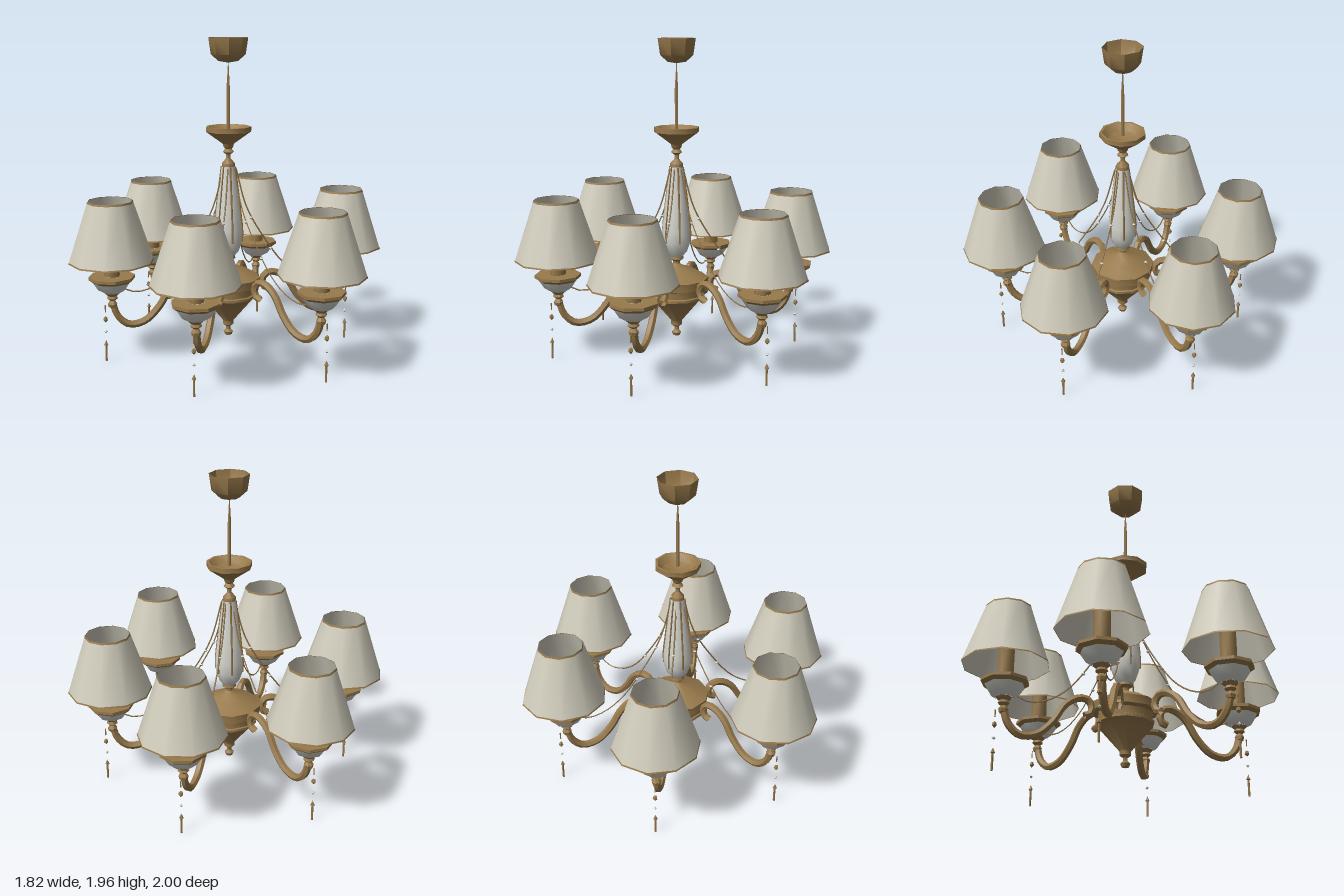
import * as THREE from 'three';
import { toCreasedNormals } from 'three/addons/utils/BufferGeometryUtils.js';

const mat = (name, color) => {
  const m = new THREE.MeshStandardMaterial({ color, side: THREE.DoubleSide });
  m.name = name;
  return m;
};

export function createModel() {
  const bronze = mat('aged bronze', 0x987a4c);
  const fabric = mat('cream fabric', 0xd0ccbc);
  const porcelain = mat('white porcelain', 0xd6d6d0);

  const add = (parent, name, geometry, material, x = 0, y = 0, z = 0) => {
    const mesh = new THREE.Mesh(geometry, material);
    mesh.name = name;
    mesh.position.set(x, y, z);
    parent.add(mesh);
    return mesh;
  };
  // Turned part from [radius, height] pairs listed bottom to top
  const turned = (points, sides, crease = 0.75) => toCreasedNormals(
    new THREE.LatheGeometry(points.map(p => new THREE.Vector2(...p)), sides), crease);
  // Bent tube through [radial distance, height] pairs
  const bent = (points, radius, steps, sides) => new THREE.TubeGeometry(
    new THREE.CatmullRomCurve3(points.map(([r, y]) => new THREE.Vector3(0, y, r))), steps, radius, sides);

  const model = new THREE.Group();
  model.name = 'chandelier';

  // Ceiling canopy, hanging rod and upper bowl
  const centre = new THREE.Group();
  centre.name = 'centreColumn';
  centre.position.set(-0.003, 0, -0.008);
  model.add(centre);
  add(centre, 'ceilingCanopy', turned([[0, 1.81], [0.06, 1.82], [0.105, 1.86], [0.12, 1.96]], 8), bronze);
  add(centre, 'hangingRod', turned([[0.011, 1.4], [0.011, 1.66], [0.002, 1.81]], 5), bronze);
  add(centre, 'upperBowl', turned([
    [0.04, 1.175], [0.04, 1.2], [0.014, 1.23], [0.014, 1.255], [0.035, 1.27], [0.02, 1.29],
    [0.03, 1.3], [0.035, 1.32], [0.125, 1.385], [0.14, 1.395], [0.14, 1.425], [0.125, 1.425],
    [0.09, 1.385], [0, 1.37]], 9), bronze);

  // Vase stem with metal ribs
  const stem = [[0.035, 0.61], [0.065, 0.645], [0.088, 0.71], [0.09, 0.78], [0.078, 0.89], [0.06, 1.04], [0.042, 1.18]];
  add(centre, 'vaseStem', turned(stem, 10, 1.2), porcelain);
  for (let i = 0; i < 6; i++) {
    const rib = add(centre, 'stemRib', bent(stem.slice(2), 0.006, 8, 4), bronze);
    rib.rotation.y = i * Math.PI / 3 + Math.PI / 6;
  }

  // Body with lower finial
  add(centre, 'body', turned([
    [0, 0.095], [0.022, 0.1], [0.03, 0.12], [0.014, 0.135], [0.014, 0.155], [0.034, 0.17], [0.034, 0.195],
    [0.165, 0.35], [0.175, 0.355], [0.175, 0.37], [0.165, 0.375], [0.168, 0.42], [0.198, 0.43], [0.2, 0.48],
    [0.185, 0.485], [0.12, 0.525], [0.04, 0.555], [0.022, 0.57], [0.022, 0.585], [0.045, 0.6],
    [0.04, 0.62], [0, 0.62]], 10), bronze);

  // Geometry shared by the six branches
  const R = 0.74;
  const armGeometry = toCreasedNormals(bent([
    [0.26, 0.385], [0.225, 0.4], [0.215, 0.45], [0.25, 0.49], [0.31, 0.485], [0.38, 0.435], [0.45, 0.325],
    [0.54, 0.24], [0.64, 0.225], [0.71, 0.285], [R, 0.375]], 0.023, 24, 6), 0.5);
  const chainGeometry = bent([
    [0.04, 1.17], [0.11, 0.92], [0.23, 0.71], [0.37, 0.53], [0.5, 0.445], [0.61, 0.43], [0.7, 0.475]], 0.0045, 22, 4);
  const finialGeometry = turned([
    [0, 0.335], [0.025, 0.345], [0.03, 0.365], [0.016, 0.385], [0.035, 0.4], [0.028, 0.415], [0.05, 0.435]], 7);
  const dishGeometry = turned([[0.05, 0.435], [0.085, 0.455], [0.118, 0.505]], 8);
  const dishRimGeometry = turned([[0.118, 0.505], [0.142, 0.522], [0.142, 0.54], [0.05, 0.54]], 8);
  const candleGeometry = toCreasedNormals(new THREE.CylinderGeometry(0.048, 0.048, 0.22, 8), 0.9);
  const bulbGeometry = new THREE.SphereGeometry(0.046, 8, 6);
  const shadeGeometry = new THREE.CylinderGeometry(0.136, 0.258, 0.37, 10, 1, true);
  const topTrim = new THREE.CylinderGeometry(0.136, 0.14, 0.012, 10, 1, true);
  const bottomTrim = new THREE.CylinderGeometry(0.257, 0.26, 0.009, 10, 1, true);
  const crystalGeometry = turned([[0, -0.02], [0.015, -0.004], [0.011, 0.012], [0, 0.02]], 5, 0.1);
  const beadGeometry = new THREE.OctahedronGeometry(0.012);
  const pendantGeometry = turned([[0, 0], [0.007, 0.002], [0.007, 0.1], [0.014, 0.104], [0, 0.135]], 5, 0.5);
  const linkGeometry = new THREE.CylinderGeometry(0.004, 0.004, 0.045, 4);

  for (let i = 0; i < 6; i++) {
    const branch = new THREE.Group();
    branch.name = 'branch' + (i + 1);
    branch.rotation.y = (i * 60 - 1.5) * Math.PI / 180;
    model.add(branch);

    // Scrolled arm and swagged chain
    add(branch, 'arm', armGeometry, bronze);
    add(branch, 'swagChain', chainGeometry, bronze);
    for (const [r, y] of [[0.27, 0.645], [0.14, 0.85]]) add(branch, 'chainBead', beadGeometry, porcelain, 0, y, r);

    // Lamp holder
    add(branch, 'cupFinial', finialGeometry, bronze, 0, 0, R);
    add(branch, 'cupDish', dishGeometry, porcelain, 0, 0, R);
    add(branch, 'cupRim', dishRimGeometry, bronze, 0, 0, R);
    add(branch, 'candleSleeve', candleGeometry, bronze, 0, 0.65, R);
    add(branch, 'bulb', bulbGeometry, porcelain, 0, 0.79, R);

    // Lampshade with trims
    add(branch, 'lampshade', shadeGeometry, fabric, 0, 0.817, R);
    add(branch, 'shadeTopTrim', topTrim, bronze, 0, 0.998, R);
    add(branch, 'shadeBottomTrim', bottomTrim, bronze, 0, 0.634, R);

    // Hanging drop
    const P = 0.785;
    add(branch, 'dropLink', linkGeometry, bronze, 0, 0.335, P);
    add(branch, 'dropCrystal', crystalGeometry, bronze, 0, 0.268, P);
    add(branch, 'dropBead', beadGeometry, porcelain, 0, 0.19, P);
    add(branch, 'dropPendant', pendantGeometry, bronze, 0, 0, P);
  }
  return model;
}
